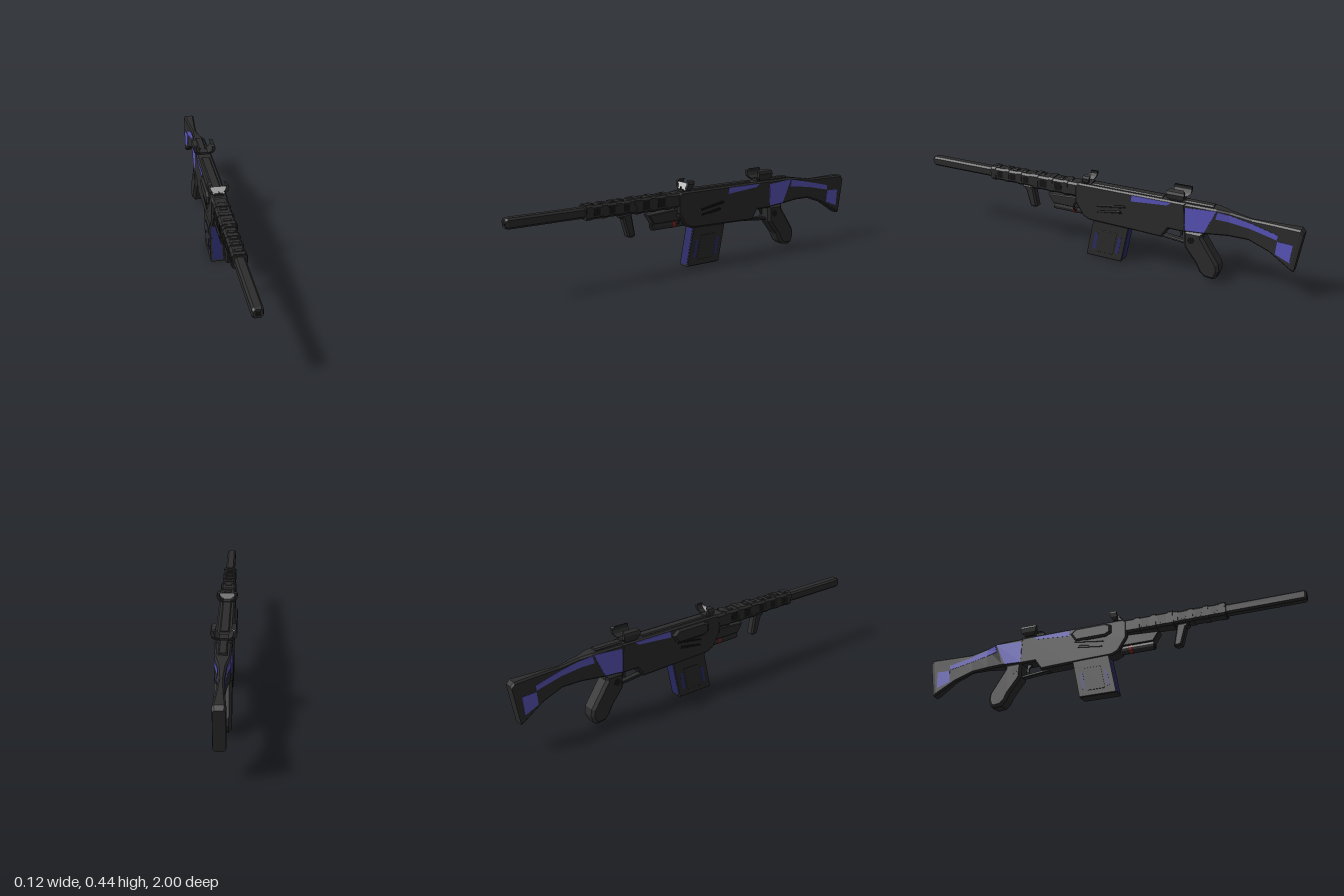
import * as THREE from 'three';

const mat = (color) => new THREE.MeshStandardMaterial({ color, flatShading: true });

export function createModel() {
  const root = new THREE.Group();
  const dark = mat(0x2c2c2c), black = mat(0x141414), purple = mat(0x5a55bb);
  const navy = mat(0x2c2c6a), red = mat(0x8a2018), grey = mat(0xcccccc);
  grey.side = THREE.DoubleSide;

  const add = (name, geo, material) => {
    const mesh = new THREE.Mesh(geo, material);
    mesh.name = name;
    root.add(mesh);
    return mesh;
  };

  // Side profile in (z, y), extruded across x with chamfered edges
  const slab = (name, pts, w, bevel, material, x = 0) => {
    const shape = new THREE.Shape(pts.map(([z, y]) => new THREE.Vector2(-z, y)));
    const geo = new THREE.ExtrudeGeometry(shape, {
      depth: 2 * (w - bevel), bevelEnabled: bevel > 0, bevelSize: bevel,
      bevelThickness: bevel, bevelOffset: -bevel, bevelSegments: 1,
    });
    geo.translate(0, 0, -(w - bevel)).rotateY(Math.PI / 2).translate(x, 0, 0);
    return add(name, geo, material);
  };

  // Chamfered cross-sections [zBottom, yBottom, zTop, yTop, halfWidth], front to back
  const loft = (name, sections, c, material, x = 0) => {
    const rings = sections.map(([zb, yb, zt, yt, w]) => [
      [w - c, yb], [w, yb + c], [w, yt - c], [w - c, yt],
      [c - w, yt], [-w, yt - c], [-w, yb + c], [c - w, yb],
    ].map(([px, py]) => [px + x, py, zb + (zt - zb) * (py - yb) / (yt - yb)]));
    const v = [];
    const tri = (...p) => p.forEach((q) => v.push(...q));
    for (let s = 0; s < rings.length - 1; s++) {
      for (let i = 0; i < 8; i++) {
        const j = (i + 1) % 8, a = rings[s], b = rings[s + 1];
        tri(a[i], b[i], a[j]);
        tri(b[i], b[j], a[j]);
      }
    }
    const first = rings[0], last = rings[rings.length - 1];
    for (let i = 1; i < 7; i++) {
      tri(first[0], first[i], first[i + 1]);
      tri(last[0], last[i + 1], last[i]);
    }
    const geo = new THREE.BufferGeometry();
    geo.setAttribute('position', new THREE.Float32BufferAttribute(v, 3));
    geo.computeVertexNormals();
    return add(name, geo, material);
  };
  // Straight chamfered block from z0 (front) to z1 (back)
  const block = (name, z0, z1, yb, yt, w, c, material, x = 0) =>
    loft(name, [[z0, yb, z0, yt, w], [z1, yb, z1, yt, w]], c, material, x);

  // Barrel with square bore
  loft('barrel', [[1, 0.322, 1, 0.362, 0.02], [0.99, 0.317, 0.99, 0.366, 0.024],
    [0.6, 0.317, 0.6, 0.366, 0.024]], 0.009, dark);
  block('bore', 1, 0.98, 0.331, 0.353, 0.011, 0, black).position.z = 0.0006;

  // Handguard, stepped, with ribs and dark vents
  block('frontHandguard', 0.625, 0.36, 0.309, 0.373, 0.033, 0.01, dark);
  block('rearHandguard', 0.37, 0.1, 0.305, 0.376, 0.038, 0.01, dark);
  for (const z of [0.62, 0.54, 0.465, 0.39]) block('handguardRib', z, z - 0.025, 0.307, 0.377, 0.035, 0.01, dark);
  for (const z of [0.365, 0.28, 0.195]) block('handguardRib', z, z - 0.025, 0.303, 0.38, 0.04, 0.01, dark);
  for (const z of [0.585, 0.507, 0.43]) block('vent', z, z - 0.032, 0.325, 0.358, 0.0335, 0, black);
  for (const z of [0.33, 0.245]) block('vent', z, z - 0.04, 0.322, 0.362, 0.0385, 0, black);
  for (let i = 0; i < 9; i++) block('railTooth', 0.6 - i * 0.053, 0.58 - i * 0.053, 0.37, 0.38, 0.018, 0.003, dark);

  // Small forward grip
  slab('foregrip', [[0.44, 0.31], [0.38, 0.31], [0.36, 0.2], [0.375, 0.193], [0.4, 0.197], [0.425, 0.285], [0.44, 0.295]],
    0.022, 0.008, dark);

  // Under-barrel light: hood, tube, red band, side ring
  slab('lightHood', [[0.29, 0.287], [0.08, 0.3], [0.08, 0.24], [0.26, 0.24]], 0.026, 0.004, dark);
  const tube = (name, r, z0, z1, material) => {
    const geo = new THREE.CylinderGeometry(r, r, z0 - z1, 12);
    geo.rotateX(Math.PI / 2).translate(0, 0.227, (z0 + z1) / 2);
    add(name, geo, material);
  };
  tube('lightTube', 0.022, 0.26, 0.04, dark);
  tube('lightLens', 0.016, 0.262, 0.25, black);
  tube('redBand', 0.0232, 0.15, 0.135, red);
  const ring = add('sideRing', new THREE.TorusGeometry(0.02, 0.004, 6, 14), dark);
  ring.position.set(0.028, 0.25, 0.13);

  // Receiver, cover and side details
  slab('receiver', [[0.13, 0.365], [0.11, 0.38], [-0.45, 0.38], [-0.46, 0.235], [-0.37, 0.235], [-0.335, 0.185],
    [-0.16, 0.19], [0.05, 0.195], [0.085, 0.21], [0.13, 0.28]], 0.04, 0.008, dark);
  block('topCover', 0.04, -0.33, 0.37, 0.386, 0.022, 0.005, dark);
  slab('chargingCover', [[0.05, 0.315], [0.05, 0.355], [0.02, 0.37], [-0.14, 0.37], [-0.17, 0.345], [-0.14, 0.3], [0.02, 0.3]],
    0.012, 0.01, dark, -0.041);
  for (const side of [-1, 1]) {
    const x = side * 0.04;
    slab('sideStripe', [[-0.175, 0.34], [-0.18, 0.371], [-0.38, 0.371], [-0.36, 0.355]], 0.0012, 0, purple, x);
    slab('sideRidge', [[0.01, 0.275], [0, 0.285], [-0.14, 0.31], [-0.15, 0.298]], 0.004, 0.002, black, x);
    slab('sideRidge', [[0.005, 0.248], [-0.005, 0.258], [-0.12, 0.278], [-0.13, 0.266]], 0.004, 0.002, black, x);
  }

  // Trigger and guard
  slab('triggerGuard', [[-0.3, 0.195], [-0.46, 0.178], [-0.46, 0.164], [-0.3, 0.18]], 0.016, 0.003, dark);
  slab('trigger', [[-0.4, 0.24], [-0.425, 0.24], [-0.43, 0.2], [-0.415, 0.19], [-0.42, 0.21]], 0.006, 0, dark);

  // Pistol grip
  slab('pistolGrip', [[-0.445, 0.245], [-0.54, 0.245], [-0.54, 0.222], [-0.622, 0.1], [-0.628, 0.065], [-0.615, 0.028],
    [-0.598, 0.018], [-0.555, 0.023], [-0.53, 0.045], [-0.51, 0.085], [-0.45, 0.16]], 0.04, 0.013, dark);
  const pin = add('gripPin', new THREE.CylinderGeometry(0.018, 0.018, 0.082, 6), black);
  pin.rotation.z = Math.PI / 2;
  pin.position.set(0, 0.2, -0.485);

  // Magazine, raked, with coloured front and rear faces
  const mag = (name, z0, z1, y0, y1, w, material, c) => loft(name, [z0, z1].map((z) =>
    [z - y0 * 0.2, y0, z - y1 * 0.2, y1, w]), c, material, -0.003);
  mag('magazine', 0.07, -0.12, 0, 0.21, 0.033, dark, 0.004);
  mag('magazineFaces', 0.0715, -0.1215, 0.01, 0.19, 0.025, navy, 0);
  mag('magazineSidePanel', 0.02, -0.07, 0.03, 0.15, 0.0345, dark, 0.001);
  mag('magazineSideStrip', 0.047, 0.03, 0.04, 0.13, 0.0336, navy, 0);
  mag('magazineSideStrip', -0.08, -0.097, 0.04, 0.13, 0.0336, navy, 0);

  // Stock, waisted in plan and flared at the butt
  loft('stock', [
    [-0.44, 0.235, -0.44, 0.378, 0.038], [-0.56, 0.245, -0.6, 0.377, 0.035], [-0.66, 0.25, -0.66, 0.368, 0.02],
    [-0.75, 0.247, -0.76, 0.352, 0.013], [-0.85, 0.212, -0.85, 0.352, 0.018],
    [-0.955, 0.148, -0.985, 0.352, 0.028], [-0.97, 0.14, -1, 0.335, 0.026]], 0.008, dark);
  loft('stockBlock', [[-0.45, 0.245, -0.45, 0.36, 0.0395], [-0.545, 0.25, -0.6, 0.37, 0.0365]], 0, purple);
  loft('stockStripe', [[-0.597, 0.33, -0.607, 0.367, 0.036], [-0.66, 0.322, -0.66, 0.355, 0.0212],
    [-0.755, 0.307, -0.755, 0.335, 0.0145], [-0.85, 0.287, -0.85, 0.313, 0.0192], [-0.885, 0.28, -0.885, 0.305, 0.0222]], 0, purple);
  loft('stockPatch', [[-0.88, 0.212, -0.885, 0.275, 0.0225], [-0.95, 0.185, -0.957, 0.275, 0.0285]], 0, purple);
  block('rearCap', -0.44, -0.58, 0.37, 0.387, 0.02, 0.006, dark);

  // Horned sights: crescent outline in (x, y), narrowing in z toward the foot
  const horns = (name, z, depth, s, lean) => {
    const outline = [[0.02, 0], [0.042, 0.005], [0.054, 0.022], [0.059, 0.042], [0.054, 0.055], [0.034, 0.062],
      [0.041, 0.052], [0.043, 0.04], [0.036, 0.024], [0.02, 0.012]];
    for (const side of [-1, 1]) {
      const pts = outline.map(([x, y]) => new THREE.Vector2(side * x * s, y * s));
      const geo = new THREE.ExtrudeGeometry(new THREE.Shape(pts), { depth, bevelEnabled: false });
      geo.translate(0, 0, -depth / 2);
      const p = geo.attributes.position;
      for (let i = 0; i < p.count; i++) {
        const t = p.getY(i) / (0.062 * s);
        const k = t < 0.4 ? 0.5 + 1.25 * t : t > 0.9 ? 0.75 : 1;
        p.setZ(i, p.getZ(i) * k - lean * t);
      }
      geo.computeVertexNormals();
      add(name, geo, dark).position.set(0, 0.379, z);
    }
  };
  horns('rearSight', -0.405, 0.088, 1, 0);
  horns('frontSight', 0.07, 0.036, 0.88, 0.012);
  block('rearSightBase', -0.38, -0.43, 0.375, 0.39, 0.026, 0.004, dark);
  block('frontSightBase', 0.095, 0.045, 0.375, 0.388, 0.024, 0.004, dark);
  block('frontSightPost', 0.092, 0.086, 0.385, 0.4, 0.0015, 0, black);

  // Pale sight plate, leaning back
  const plate = new THREE.ShapeGeometry(new THREE.Shape([[-0.024, 0], [0.024, 0], [0.044, 0.042], [-0.044, 0.042]]
    .map(([x, y]) => new THREE.Vector2(x, y))));
  const sightPlate = add('sightPlate', plate, grey);
  sightPlate.position.set(0, 0.38, 0.085);
  sightPlate.rotation.x = -0.25;

  return root;
}
